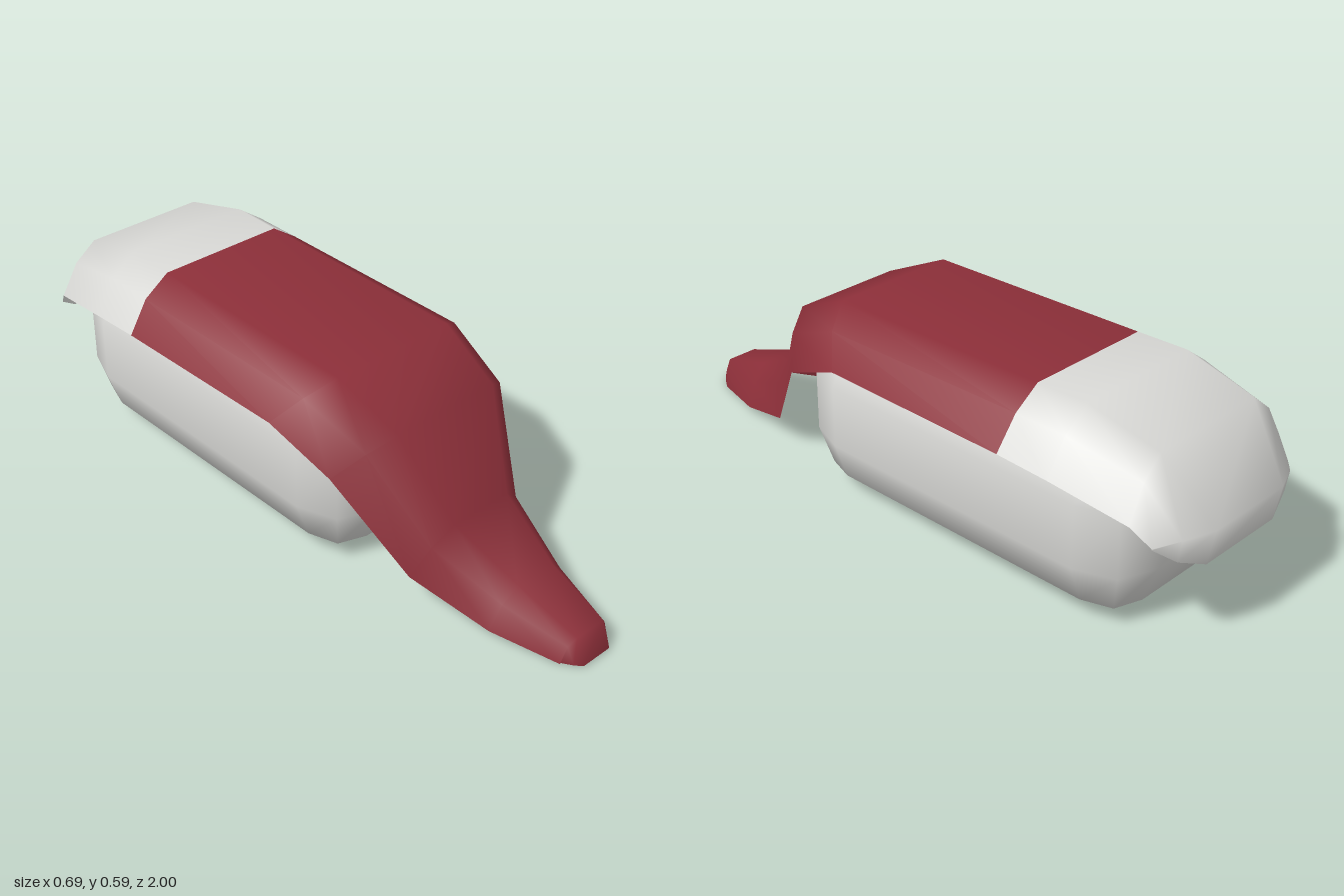
import * as THREE from 'three';
import { mergeVertices } from 'three/addons/utils/BufferGeometryUtils.js';

const red = new THREE.MeshStandardMaterial({ color: 0x8c2f39, side: THREE.DoubleSide });
red.name = 'dark red';
const grey = new THREE.MeshStandardMaterial({ color: 0xd9d9d6, side: THREE.DoubleSide });
grey.name = 'light grey';

// Skin a list of rows of [x, y, z] points with smooth normals
function loft(rows, closed) {
  const n = rows[0].length, index = [];
  for (let i = 0; i < rows.length - 1; i++) {
    for (let j = 0; j < (closed ? n : n - 1); j++) {
      const k = (j + 1) % n;
      const a = i * n + j, b = i * n + k, c = a + n, d = b + n;
      index.push(a, c, b, c, d, b);
    }
  }
  let g = new THREE.BufferGeometry();
  g.setAttribute('position', new THREE.Float32BufferAttribute(rows.flat(2), 3));
  g.setIndex(index);
  g = mergeVertices(g, 1e-4);
  g.computeVertexNormals();
  return g;
}

// Shell half sections: ridge, shoulder, edge, listed from the nose to the tail
const sections = [
  [[0.05, 0.005, 1.0], [0.065, 0.003, 0.98], [0.08, 0, 0.95]],
  [[0.05, 0.08, 0.97], [0.072, 0.055, 0.96], [0.085, 0, 0.95]],
  [[0.065, 0.14, 0.78], [0.112, 0.095, 0.77], [0.145, 0.02, 0.76]],
  [[0.1, 0.24, 0.58], [0.163, 0.185, 0.56], [0.21, 0.095, 0.53]],
  [[0.175, 0.485, 0.44], [0.25, 0.44, 0.4], [0.315, 0.36, 0.335]],
  [[0.2, 0.575, 0.24], [0.28, 0.525, 0.195], [0.343, 0.445, 0.13]],
  [[0.2, 0.585, -0.48], [0.28, 0.53, -0.48], [0.343, 0.437, -0.475]],
  [[0.2, 0.588, -0.64], [0.28, 0.53, -0.64], [0.343, 0.43, -0.64]],
  [[0.19, 0.535, -0.86], [0.257, 0.48, -0.865], [0.31, 0.385, -0.87]],
  [[0.14, 0.355, -1.0], [0.225, 0.35, -0.965], [0.285, 0.335, -0.92]],
  [[0.14, 0.25, -0.98], [0.225, 0.285, -0.955], [0.285, 0.332, -0.92]],
];
const mirrorX = ([x, y, z]) => [-x, y, z];

function makeShell() {
  const rows = sections.map(s => [...s].reverse().concat(s.map(mirrorX)));
  const g = loft(rows, false);
  const split = 6 * 5 * 6; // six red bands of five quads
  g.addGroup(0, split, 0);
  g.addGroup(split, g.index.count - split, 1);
  const mesh = new THREE.Mesh(g, [red, grey]);
  mesh.name = 'coverShell';
  return mesh;
}

// Rounded body: stacked rounded-rectangle rings
function makeBody() {
  const cx = 0.145, cz = 0.435, zMid = -0.2525;
  // y, side half width, end half length, corner x, corner z
  const levels = [
    [0.02, cx, cz, cx, cz],
    [0.06, 0.255, 0.55, 0.226, 0.522],
    [0.175, 0.297, 0.593, 0.255, 0.55],
    [0.36, 0.297, 0.593, 0.255, 0.55],
    [0.465, 0.255, 0.55, 0.226, 0.522],
    [0.505, cx, cz, cx, cz],
  ];
  const rows = levels.map(([y, X, Z, kx, kz]) => {
    const q = [[X, cz], [kx, kz], [cx, Z]];
    const half = q.concat([...q].reverse().map(([x, z]) => [-x, z]));
    return half.concat(half.map(([x, z]) => [-x, -z])).map(([x, z]) => [x, y, z + zMid]);
  });
  const cap = y => rows[0].map(() => [0, y, zMid]);
  const mesh = new THREE.Mesh(loft([cap(0.02), ...rows, cap(0.505)], true), grey);
  mesh.name = 'body';
  return mesh;
}

export function createModel() {
  const model = new THREE.Group();
  model.name = 'coveredPod';
  model.add(makeShell(), makeBody());
  return model;
}
